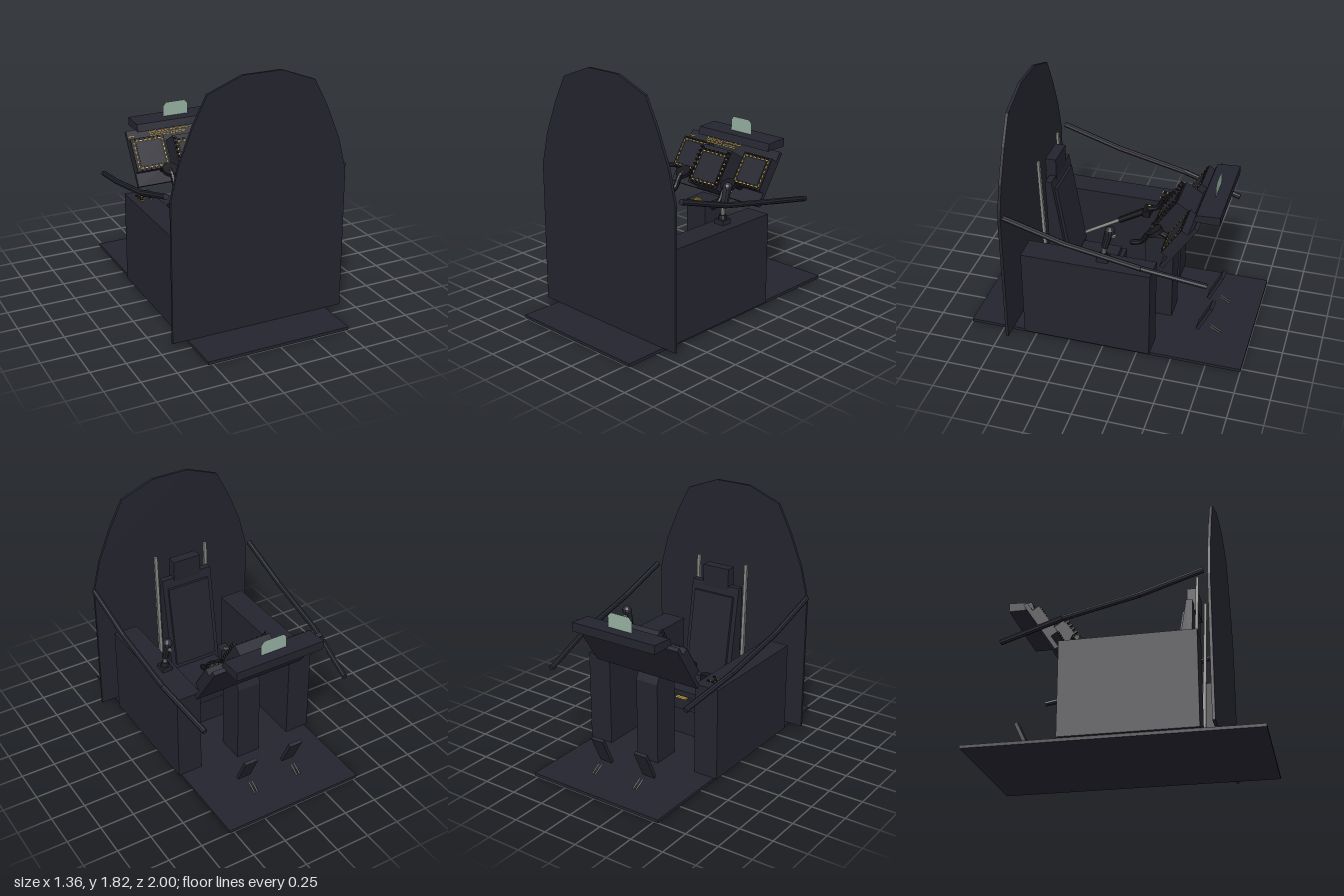
import * as THREE from 'three';

const mat = (name, color) => {
  const m = new THREE.MeshStandardMaterial({ color, side: THREE.DoubleSide, flatShading: true });
  m.name = name;
  return m;
};

export function createModel() {
  const body = mat('dark slate', 0x24242f), black = mat('black', 0x16161c), yellow = mat('label yellow', 0xd2ae3c);
  const metal = mat('grey metal', 0x83847f), glass = mat('pale green glass', 0x95b0a1);
  const root = new THREE.Group();
  root.name = 'cockpit';

  const add = (name, geo, m, parent = root, pos = [0, 0, 0], rx = 0) => {
    const mesh = new THREE.Mesh(geo, m);
    mesh.name = name;
    mesh.position.set(...pos);
    mesh.rotation.x = rx;
    parent.add(mesh);
    return mesh;
  };
  // box given by its minimum and maximum corners
  const box = (name, a, b, m = body, parent = root) =>
    add(name, new THREE.BoxGeometry(b[0] - a[0], b[1] - a[1], b[2] - a[2]), m, parent,
      a.map((v, i) => (v + b[i]) / 2));
  // side profile of [z, y] points extruded across x
  const profile = (name, pts, x0, x1, m = body) => {
    const s = new THREE.Shape(pts.map(p => new THREE.Vector2(...p)));
    const g = new THREE.ExtrudeGeometry(s, { depth: x1 - x0, bevelEnabled: false });
    g.rotateY(-Math.PI / 2).translate(x1, 0, 0);
    return add(name, g, m);
  };
  // straight rod between two points
  const rod = (name, a, b, r0, r1, m = body, sides = 10) => {
    const A = new THREE.Vector3(...a), B = new THREE.Vector3(...b), d = B.clone().sub(A);
    const mesh = add(name, new THREE.CylinderGeometry(r1, r0, d.length(), sides), m);
    mesh.position.copy(A).add(B).multiplyScalar(0.5);
    mesh.quaternion.setFromUnitVectors(new THREE.Vector3(0, 1, 0), d.normalize());
    return mesh;
  };

  // floor and rear bulkhead
  box('floor', [-0.53, 0, -1], [0.53, 0.022, 1]);
  const half = [[0.645, 0.025], [0.645, 1.05], [0.588, 1.28], [0.49, 1.52], [0.387, 1.72], [0.14, 1.815]];
  const outline = [...half, ...half.map(([x, y]) => [-x, y]).reverse()].map(p => new THREE.Vector2(...p));
  add('bulkhead', new THREE.ExtrudeGeometry(new THREE.Shape(outline), { depth: 0.02, bevelEnabled: false }),
    body, root, [0, 0, 0.675]);

  // side consoles
  box('rightConsole', [-0.555, 0.022, -0.345], [-0.37, 0.7, 0.585]);
  box('leftConsole', [0.365, 0.022, -0.345], [0.55, 0.7, 0.585]);
  for (let i = 0; i < 3; i++) for (let j = 0; j < 3; j++) {
    const x = -0.495 + i * 0.037, z = -0.255 + j * 0.036;
    if ((i + j) % 4 === 3) continue;
    box('consoleSwitch', [x - 0.008, 0.7, z - 0.008], [x + 0.008, 0.71, z + 0.008], black);
    box('consoleLabel', [x - 0.012, 0.7, z + 0.013], [x + 0.012, 0.704, z + 0.018], yellow);
  }

  // centre pedestal with a sloped nose
  profile('pedestal', [[-0.19, 0.022], [-0.19, 0.7], [-0.36, 0.71], [-0.395, 0.63], [-0.395, 0.022]], -0.09, 0.09);

  // side rails
  for (const s of [-1, 1]) {
    const path = [[0.658, 1.07, 0.65], [0.65, 0.935, 0.22], [0.63, 0.825, -0.3], [0.565, 0.72, -0.74]];
    for (let i = 0; i < 3; i++) {
      const [a, b] = [path[i], path[i + 1]].map(([x, y, z]) => [s * x, y, z]);
      rod('sideRail', a, b, 0.02, 0.02, body, 8);
    }
  }

  // seat
  box('seatBase', [-0.17, 0.022, 0.08], [0.17, 0.25, 0.5]);
  box('seatPan', [-0.205, 0.25, 0.03], [0.205, 0.34, 0.5]);
  box('seatCushion', [-0.17, 0.34, 0.06], [0.17, 0.38, 0.38]);
  box('seatHandle', [-0.045, 0.34, 0.022], [0.045, 0.35, 0.042], yellow);
  profile('seatBack', [[0.345, 0.34], [0.465, 1.1], [0.51, 1.1], [0.49, 0.34]], -0.2, 0.2);
  profile('backCushion', [[0.335, 0.42], [0.435, 1.03], [0.465, 1.03], [0.37, 0.42]], -0.165, 0.165);
  box('headrest', [-0.11, 1.06, 0.46], [0.105, 1.23, 0.535]);
  for (const s of [-1, 1])
    profile('seatRail', [[0.5, 0.25], [0.542, 1.26], [0.56, 1.26], [0.525, 0.25]], s * 0.205 - 0.012, s * 0.205 + 0.012, metal);

  // instrument panel: local z points out of its face, local y up along it
  const panel = new THREE.Group();
  panel.name = 'instrumentPanel';
  panel.position.set(0, 0.885, -0.505);
  panel.rotation.x = -0.582;
  root.add(panel);
  box('panelPlate', [-0.43, -0.21, -0.015], [0.428, 0.215, 0.015], body, panel);

  const display = (x0, x1, y0, y1, z) => {
    box('displayBezel', [x0, y0, z], [x1, y1, z + 0.006], black, panel);
    const m = 0.035;
    box('displayScreen', [x0 + m, y0 + m, z + 0.006], [x1 - m, y1 - m, z + 0.009], body, panel);
    const tick = (x, y, w, h) => {
      box('displayLabel', [x - w / 2, y - h / 2, z + 0.006], [x + w / 2, y + h / 2, z + 0.01], yellow, panel);
    };
    const n = 6;
    for (let i = 0; i < n; i++) {
      const t = (i + 0.5) / n, x = x0 + 0.02 + t * (x1 - x0 - 0.04), y = y0 + 0.02 + t * (y1 - y0 - 0.04);
      for (const e of [y0 + 0.022, y1 - 0.022]) tick(x, e, 0.02, 0.007);
      for (const e of [x0 + 0.018, x1 - 0.018]) tick(e, y, 0.007, 0.018);
      for (const e of [y0 + 0.008, y1 - 0.008])
        box('displayButton', [x - 0.008, e - 0.006, z], [x + 0.008, e + 0.006, z + 0.016], black, panel);
    }
  };
  for (const s of [-1, 1]) {
    const [a, b] = s < 0 ? [-0.43, -0.17] : [0.17, 0.428];
    box('sideDisplayBox', [a, -0.11, 0.015], [b, 0.14, 0.064], body, panel);
    display(a, b, -0.11, 0.14, 0.064);
  }
  box('centreDisplayBox', [-0.14, -0.206, 0.015], [0.14, 0.1, 0.163], body, panel);
  display(-0.14, 0.14, -0.2, 0.07, 0.163);
  for (let i = 0; i < 8; i++) for (const x of [-0.13, 0.13])
    box('centreKnob', [x - 0.008, -0.178 + i * 0.035, 0.163], [x + 0.008, -0.164 + i * 0.035, 0.195], black, panel);

  // rows of framed labels along the top of the panel
  const frame = (x0, x1, y0, y1) => {
    const t = 0.004, z = [0.015, 0.02];
    for (const y of [y0, y1 - t]) box('labelFrame', [x0, y, z[0]], [x1, y + t, z[1]], yellow, panel);
    for (const x of [x0, x1 - t]) box('labelFrame', [x, y0, z[0]], [x + t, y1, z[1]], yellow, panel);
  };
  for (let i = 0; i < 3; i++) {
    frame(-0.25 + i * 0.05, -0.205 + i * 0.05, 0.15, 0.172);
    frame(-0.25 + i * 0.05, -0.205 + i * 0.05, 0.178, 0.2);
    frame(-0.085 + i * 0.055, -0.035 + i * 0.055, 0.18, 0.2);
  }
  frame(-0.085, 0.03, 0.15, 0.165);
  box('panelLabel', [-0.425, 0.165, 0.015], [-0.375, 0.17, 0.02], yellow, panel);

  // labels on the pedestal top
  for (const [x0, x1, z] of [[-0.045, 0.005, -0.24], [-0.045, 0.05, -0.225], [-0.04, 0.045, -0.208]])
    box('pedestalLabel', [x0, 0.7, z - 0.003], [x1, 0.709, z + 0.003], yellow);

  // glare shield and sighting glass
  profile('glareShield', [[-0.58, 1.062], [-0.6, 1.115], [-0.765, 1.125], [-0.765, 1.06]], -0.345, 0.338);
  const g = [[-0.1, 0], [0.1, 0], [0.1, 0.08], [0.075, 0.108], [-0.075, 0.108], [-0.1, 0.08]];
  add('sightGlass', new THREE.ShapeGeometry(new THREE.Shape(g.map(p => new THREE.Vector2(...p)))), glass,
    root, [0, 1.12, -0.68]);

  // hand grips beside the centre display
  for (const s of [-1, 1]) {
    const pts = [[-0.43, 0.8], [-0.31, 0.85], [-0.25, 0.83], [-0.2, 0.75], [-0.13, 0.725]];
    const curve = new THREE.CatmullRomCurve3(pts.map(([z, y]) => new THREE.Vector3(s * 0.22, y, z)));
    add('handGrip', new THREE.TubeGeometry(curve, 16, 0.02, 8), black);
    add('gripTip', new THREE.SphereGeometry(0.02, 8, 6), black, root, [s * 0.22, 0.725, -0.13]);
    add('gripCollar', new THREE.CylinderGeometry(0.058, 0.058, 0.03, 14), black, root, [s * 0.22, 0.85, -0.29], 0.5);
  }

  // side stick on the left console
  box('stickBase', [0.405, 0.7, -0.025], [0.48, 0.735, 0.055]);
  rod('stickShaft', [0.442, 0.735, 0.015], [0.442, 0.82, 0.005], 0.016, 0.016, metal);
  add('stickBoot', new THREE.CylinderGeometry(0.024, 0.032, 0.03, 12), black, root, [0.442, 0.75, 0.014]);
  rod('stickGrip', [0.442, 0.81, 0.005], [0.442, 0.95, -0.03], 0.024, 0.032);
  add('stickHead', new THREE.SphereGeometry(0.036, 10, 8), body, root, [0.442, 0.95, -0.033]);
  box('stickTrigger', [0.432, 0.905, -0.075], [0.452, 0.92, -0.04], metal);

  // lever beside the seat
  box('leverBase', [-0.36, 0.022, 0.43], [-0.28, 0.32, 0.51]);
  rod('leverRod', [-0.322, 0.3, 0.47], [-0.322, 0.51, 0.12], 0.014, 0.014, metal);
  rod('leverGrip', [-0.322, 0.51, 0.12], [-0.322, 0.63, -0.08], 0.024, 0.026, black);
  box('leverHead', [-0.365, 0.61, -0.125], [-0.265, 0.66, -0.07], black);
  box('leverButton', [-0.355, 0.66, -0.115], [-0.335, 0.668, -0.095], yellow);

  // foot pedals with their rods
  for (const s of [-1, 1]) {
    add('footPedal', new THREE.BoxGeometry(0.1, 0.228, 0.025), body, root, [s * 0.185, 0.165, -0.67], -0.44);
    for (const d of [-0.012, 0.012])
      rod('pedalRod', [s * 0.178 + d, 0.07, -0.705], [s * 0.178 + d, 0.028, -0.782], 0.006, 0.006, metal, 6);
  }
  return root;
}
